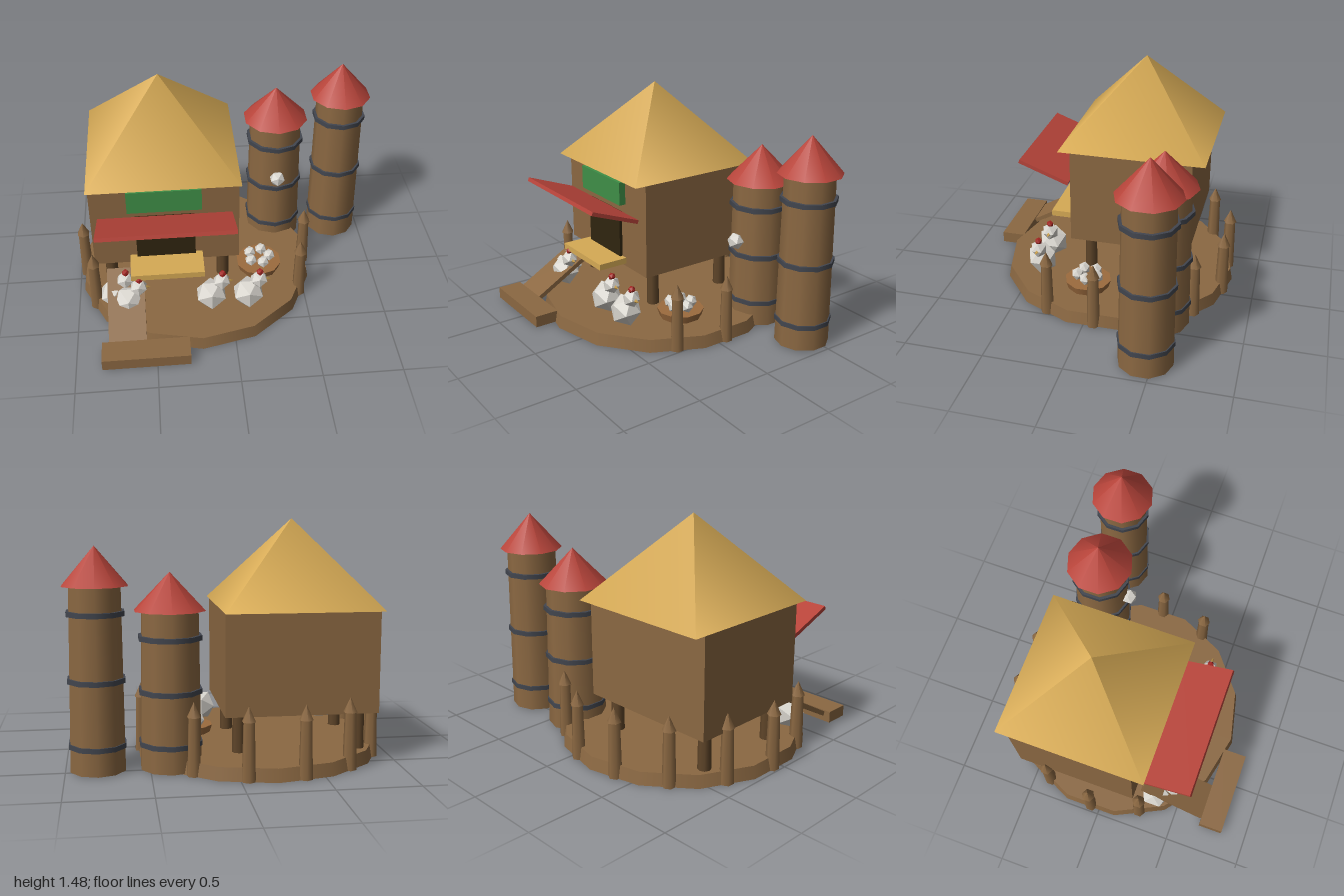
import * as THREE from 'three';

const paint = (name, color) => {
  const m = new THREE.MeshStandardMaterial({ color });
  m.name = name;
  return m;
};

export function createModel() {
  const wood = paint('wood', 0x8b6842);
  const darkWood = paint('darkWood', 0x5f4529);
  const straw = paint('straw', 0xd6aa55);
  const red = paint('redTiles', 0xb8443a);
  const combRed = paint('combRed', 0xa32622);
  const green = paint('signGreen', 0x3f8f47);
  const doorBrown = paint('doorBrown', 0x30250f);
  const iron = paint('iron', 0x42464f);
  const white = paint('feathers', 0xd8d5ce);
  const basket = paint('basketWood', 0x9c6b3e);

  const model = new THREE.Group();
  model.name = 'farmyard';

  const add = (parent, name, geometry, material, x, y, z) => {
    const mesh = new THREE.Mesh(geometry, material);
    mesh.name = name;
    mesh.position.set(x, y, z);
    parent.add(mesh);
    return mesh;
  };
  // Helpers that span from a bottom height to a top height
  const box = (parent, name, mat, x0, x1, y0, y1, z0, z1) =>
    add(parent, name, new THREE.BoxGeometry(x1 - x0, y1 - y0, z1 - z0), mat,
      (x0 + x1) / 2, (y0 + y1) / 2, (z0 + z1) / 2);
  const drum = (parent, name, mat, rTop, rBottom, sides, x, y0, y1, z) =>
    add(parent, name, new THREE.CylinderGeometry(rTop, rBottom, y1 - y0, sides), mat,
      x, (y0 + y1) / 2, z);
  const cone = (parent, name, mat, r, sides, x, y0, y1, z) =>
    add(parent, name, new THREE.ConeGeometry(r, y1 - y0, sides), mat, x, (y0 + y1) / 2, z);
  const group = (name) => {
    const g = new THREE.Group();
    g.name = name;
    model.add(g);
    return g;
  };

  // Round yard platform
  const cx = -0.21, cz = -0.063;
  drum(model, 'platform', wood, 0.765, 0.78, 14, cx, 0, 0.08, cz);

  // Fence posts around the yard, leaving the front open
  const fence = group('fence');
  for (let k = -8; k <= 1; k++) {
    const a = (k / 14) * Math.PI * 2;
    const x = cx + 0.745 * Math.cos(a), z = cz + 0.745 * Math.sin(a);
    drum(fence, 'fencePost', wood, 0.035, 0.043, 6, x, 0, 0.35, z);
    cone(fence, 'fencePostTip', wood, 0.043, 6, x, 0.35, 0.44, z);
  }

  // Raised house
  const house = group('house');
  const hx = -0.405, hz = -0.18;
  box(house, 'houseBody', wood, hx - 0.467, hx + 0.467, 0.32, 0.945, hz - 0.395, hz + 0.395);
  cone(house, 'thatchRoof', straw, 0.475 * Math.SQRT2, 4, hx, 0.945, 1.475, hz)
    .rotation.y = Math.PI / 4;
  for (const sx of [-1, 1]) for (const sz of [-1, 1])
    drum(house, 'houseLeg', darkWood, 0.038, 0.042, 8, hx + sx * 0.37, 0, 0.32, hz + sz * 0.28);
  box(house, 'door', doorBrown, -0.595, -0.22, 0.32, 0.695, 0.21, 0.235);
  box(house, 'doorStep', straw, -0.64, -0.175, 0.34, 0.38, 0.215, 0.42);
  box(house, 'sign', green, -0.64, -0.175, 0.755, 0.91, 0.215, 0.26);
  const awning = add(house, 'awning', new THREE.BoxGeometry(0.842, 0.025, 0.355), red,
    hx, 0.761, 0.41);
  awning.rotation.x = -0.36;

  // Ramp and the plank at its foot
  const ramp = add(model, 'ramp', new THREE.BoxGeometry(0.236, 0.03, 0.49), wood,
    -0.679, 0.178, 0.465);
  ramp.rotation.x = 0.52;
  box(model, 'rampPlank', wood, -0.84, -0.293, 0.005, 0.08, 0.68, 0.837);

  // Silos with iron bands and pointed roofs
  const silo = (name, x, r, height, roofR, roofH) => {
    const g = group(name), z = -0.455;
    drum(g, 'siloBody', wood, r * 0.92, r, 10, x, 0.005, height, z);
    cone(g, 'siloRoof', red, roofR, 10, x, height, height + roofH, z);
    for (const y of [0.16, height / 2, height - 0.158])
      drum(g, 'siloBand', iron, r + 0.006, r + 0.006, 10, x, y - 0.015, y + 0.015, z);
  };
  silo('shortSilo', 0.374, 0.188, 0.95, 0.217, 0.225);
  silo('tallSilo', 0.807, 0.17, 1.1, 0.2, 0.23);
  add(model, 'siloOrnament', new THREE.IcosahedronGeometry(0.055), white, 0.374, 0.57, -0.26);

  // Basket of eggs
  const nest = group('eggBasket');
  drum(nest, 'basket', basket, 0.152, 0.135, 10, 0.215, 0.075, 0.13, 0.056);
  for (let i = 0; i < 5; i++) {
    const a = (i / 5) * Math.PI * 2;
    add(nest, 'egg', new THREE.IcosahedronGeometry(0.042), white,
      0.215 + 0.07 * Math.cos(a), 0.165, 0.056 + 0.07 * Math.sin(a));
  }

  // Hens facing the model's left
  for (const [x, z] of [[-0.135, 0.4], [0.105, 0.405], [-0.75, 0.335], [-0.665, 0.41]]) {
    const hen = group('hen');
    hen.position.set(x, 0, z);
    add(hen, 'henBody', new THREE.IcosahedronGeometry(0.105), white, 0, 0.17, 0);
    add(hen, 'henHead', new THREE.IcosahedronGeometry(0.058), white, 0.068, 0.277, 0);
    add(hen, 'henComb', new THREE.IcosahedronGeometry(0.025), combRed, 0.073, 0.336, 0);
    cone(hen, 'henBeak', straw, 0.02, 4, 0.122, 0.25, 0.3, 0).rotation.z = -Math.PI / 2;
  }

  return model;
}
